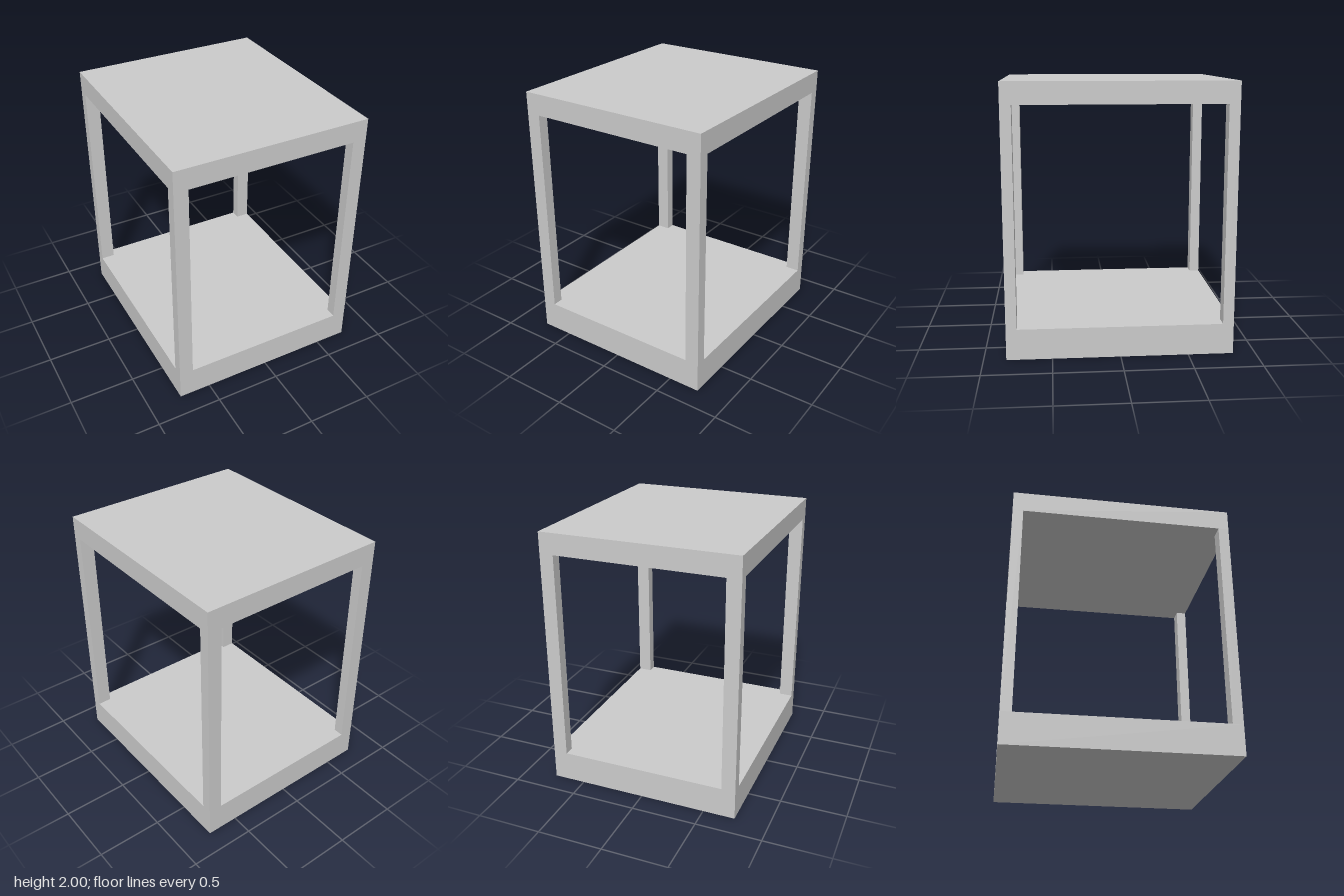
import * as THREE from 'three';

const W = 1.49, D = 1.67, H = 2;          // overall size
const FLOOR = 0.23, CEILING = 1.84;       // inner heights of the slabs
const POST_W = 0.107, POST_D = 0.08;      // corner post section

export function createModel() {
  const model = new THREE.Group();
  model.name = 'openFrame';
  const material = new THREE.MeshStandardMaterial({ color: 0xcccccc, flatShading: true });

  // box standing between two heights
  const block = (name, w, d, y0, y1, x = 0, z = 0) => {
    const mesh = new THREE.Mesh(new THREE.BoxGeometry(w, y1 - y0, d), material);
    mesh.name = name;
    mesh.position.set(x, (y0 + y1) / 2, z);
    model.add(mesh);
  };

  // solid base and top
  block('baseSlab', W, D, 0, FLOOR);
  block('topSlab', W, D, CEILING, H);

  // four corner posts, flush with the slab sides
  for (const [side, sx] of [['Left', 1], ['Right', -1]]) {
    for (const [end, sz] of [['front', 1], ['back', -1]]) {
      block(`${end}${side}Post`, POST_W, POST_D, FLOOR, CEILING,
        sx * (W - POST_W) / 2, sz * (D - POST_D) / 2);
    }
  }
  return model;
}
